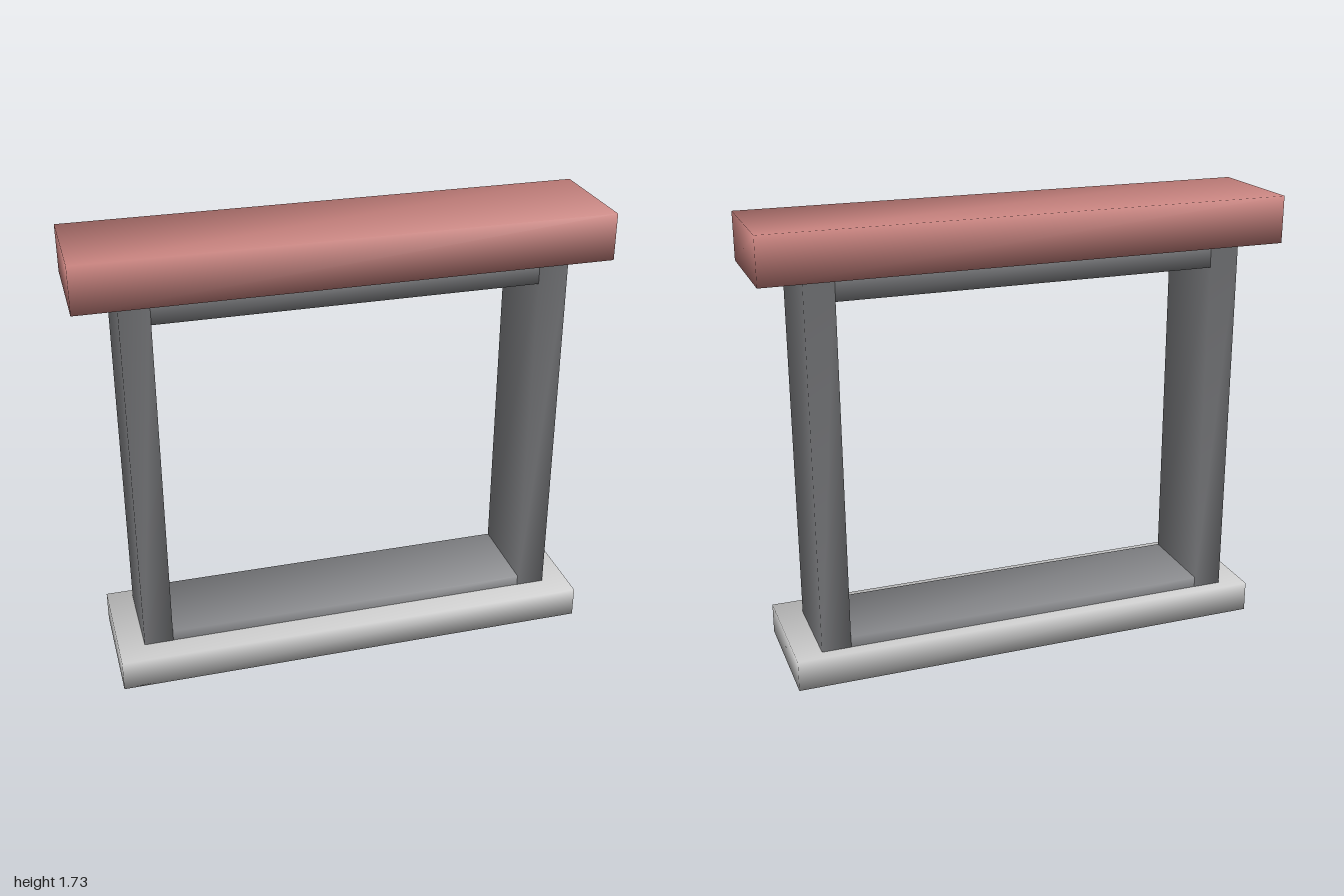
import * as THREE from 'three';
import { mergeVertices } from 'three/addons/utils/BufferGeometryUtils.js';

// Box between two corners, with corners welded so the normals are shared and smooth
function block(name, material, [x0, y0, z0], [x1, y1, z1]) {
  const box = new THREE.BoxGeometry(x1 - x0, y1 - y0, z1 - z0);
  box.deleteAttribute('normal');
  box.deleteAttribute('uv');
  const geometry = mergeVertices(box);
  geometry.computeVertexNormals();
  const mesh = new THREE.Mesh(geometry, material);
  mesh.name = name;
  mesh.position.set((x0 + x1) / 2, (y0 + y1) / 2, (z0 + z1) / 2);
  return mesh;
}

export function createModel() {
  const group = new THREE.Group();
  group.name = 'windowFrame';
  const stone = new THREE.MeshStandardMaterial({ color: 0xcccccc });
  const frame = new THREE.MeshStandardMaterial({ color: 0x828386 });
  const red = new THREE.MeshStandardMaterial({ color: 0xc4807c });

  // Projecting sill and lintel
  group.add(block('sill', stone, [-0.94, 0, -0.245], [0.94, 0.12, 0.245]));
  group.add(block('lintel', red, [-1, 1.55, -0.245], [1, 1.73, 0.19]));

  // Side posts, sunk slightly into sill and lintel
  group.add(block('leftPost', frame, [0.725, 0.1, -0.2], [0.838, 1.57, 0.145]));
  group.add(block('rightPost', frame, [-0.838, 0.1, -0.2], [-0.725, 1.57, 0.145]));

  // Rails between the posts
  group.add(block('bottomRail', frame, [-0.73, 0.05, -0.199], [0.73, 0.162, 0.144]));
  group.add(block('topRail', frame, [-0.73, 1.467, -0.199], [0.73, 1.58, 0.144]));

  return group;
}
